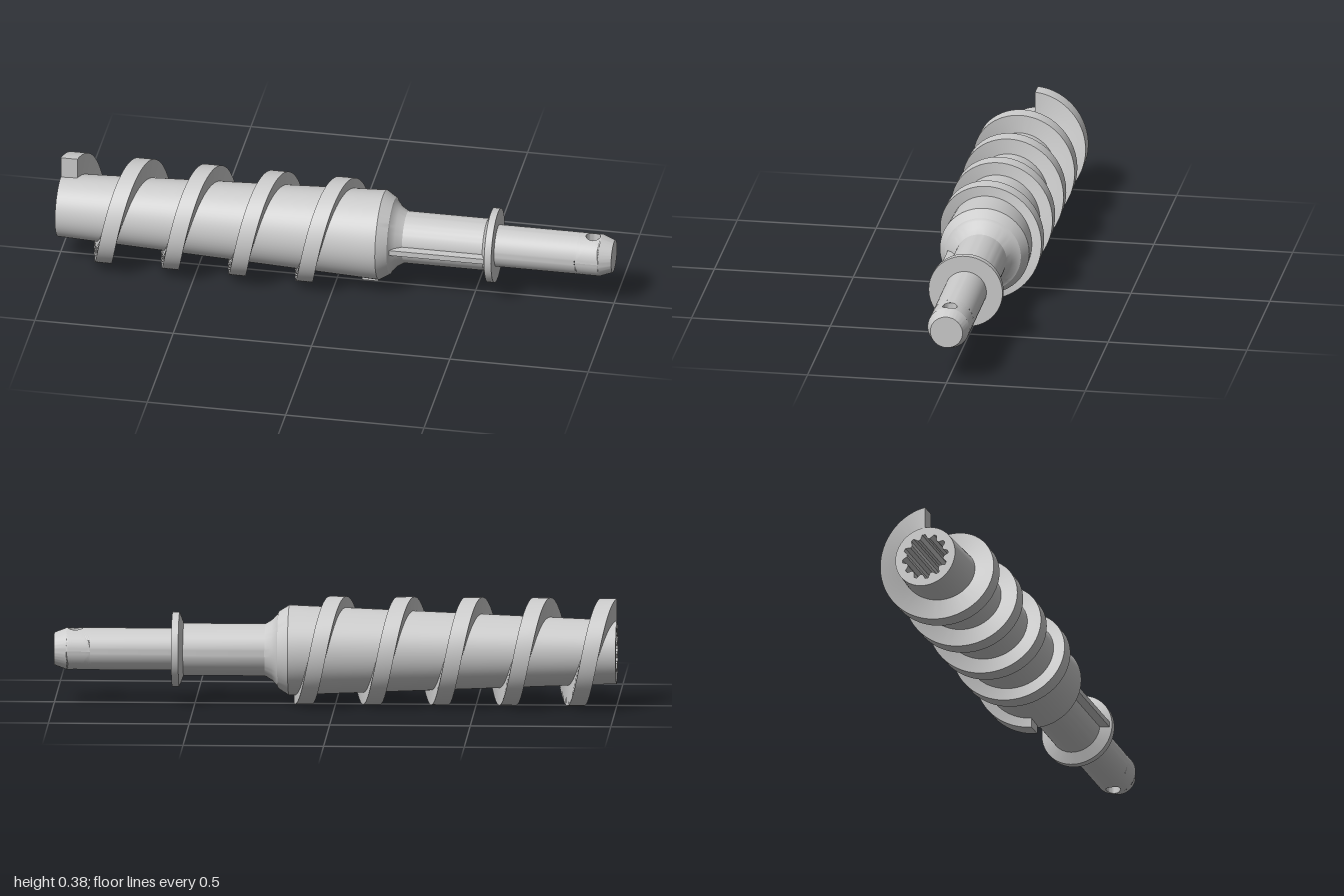
import * as THREE from 'three';
import { toCreasedNormals } from 'three/addons/utils/BufferGeometryUtils.js';

const AXIS_Y = 0.192, FLIGHT_R = 0.192, SHAFT_R = 0.075;
const coreRadius = x => Math.min(0.113 + (x + 1) * 0.041, 0.16);

export function createModel() {
  const model = new THREE.Group();
  const screw = new THREE.Group();
  screw.name = 'augerScrew';
  screw.position.y = AXIS_Y;
  model.add(screw);
  const grey = new THREE.MeshStandardMaterial({ color: 0xcccccc });
  const greyDouble = new THREE.MeshStandardMaterial({ color: 0xcccccc, side: THREE.DoubleSide });

  function add(name, geometry, material = grey, crease = 0.5) {
    const mesh = new THREE.Mesh(toCreasedNormals(geometry, crease), material);
    mesh.name = name;
    screw.add(mesh);
    return mesh;
  }
  // Turned part about the x axis from [x, radius] pairs
  function turned(name, profile) {
    const points = profile.map(([x, r]) => new THREE.Vector2(r, x));
    return add(name, new THREE.LatheGeometry(points, 64).rotateZ(-Math.PI / 2));
  }
  // Rewrites every vertex of a geometry by a rule
  function remap(geometry, rule) {
    const p = geometry.attributes.position, uv = geometry.attributes.uv;
    for (let i = 0; i < p.count; i++) {
      p.setXYZ(i, ...rule(p.getX(i), p.getY(i), p.getZ(i), uv.getX(i), uv.getY(i), i));
    }
    return geometry;
  }

  // Tapered core with chamfered shoulder and neck
  turned('core', [[-1, coreRadius(-1)], [0.12, coreRadius(0.12)], [0.165, 0.161],
    [0.203, 0.137], [0.207, 0.128], [0.225, 0.108], [0.25, 0.093]]);
  turned('neck', [[0.25, 0.093], [0.56, 0.093]]);
  turned('collar', [[0.54, 0.093], [0.555, 0.133], [0.58, 0.133], [0.58, SHAFT_R]]);
  turned('driveShaft', [[0.58, SHAFT_R], [0.87, SHAFT_R]]);
  turned('shaftTip', [[0.955, SHAFT_R], [1, 0.058], [1, 0]]);

  // Rib along the front of the neck
  add('neckRib', new THREE.BoxGeometry(0.35, 0.02, 0.075).translate(0.38, 0, 0.0875));

  // Helical flight: a long box wound round the core
  const turns = 4.5, pitch = 0.242, width = 0.06;
  add('helicalFlight', remap(new THREE.BoxGeometry(1, 1, 1, 1, 1, 324), (bx, by, bz) => {
    const s = 0.5 - bz, a = s * turns * Math.PI * 2;
    const x = -0.97 + s * turns * pitch + bx * width;
    const r = by > 0 ? FLIGHT_R : coreRadius(x) - 0.012;
    return [x, r * Math.cos(a), -r * Math.sin(a)];
  }));

  // Shaft section pierced by a vertical pin hole: two half shells and the hole wall
  const holeX = 0.925, holeR = 0.026, x0 = 0.87, x1 = 0.955;
  for (const side of [1, -1]) {
    const shell = remap(new THREE.PlaneGeometry(1, 1, 64, 10), (px, py, pz, u, v) => {
      const t = u * Math.PI * 2, c = Math.cos(t), s = Math.sin(t);
      const m = Math.max(Math.abs(c), Math.abs(s));
      const x = THREE.MathUtils.lerp(holeX + holeR * c, (x0 + x1) / 2 + (x1 - x0) / 2 * c / m, v);
      const a = THREE.MathUtils.lerp(Math.asin(holeR * s / SHAFT_R), Math.PI / 2 * s / m, v);
      return [x, SHAFT_R * Math.cos(a), SHAFT_R * Math.sin(a)];
    });
    if (side < 0) shell.rotateX(Math.PI);
    add(side > 0 ? 'piercedShaftTop' : 'piercedShaftBottom', shell);
  }
  const pinWall = new THREE.CylinderGeometry(holeR, holeR, 1, 32, 1, true);
  add('pinHole', remap(pinWall, (x, y, z) =>
    [x + holeX, Math.sign(y) * Math.sqrt(SHAFT_R ** 2 - z * z), z]), greyDouble);

  // Splined socket in the wide end
  const teeth = 12, count = teeth * 4, depth = 0.3;
  const splineR = i => (i % 4 < 2 ? 0.086 : 0.07);
  const outline = Array.from({ length: count }, (_, i) => {
    const a = i / count * Math.PI * 2;
    return new THREE.Vector2(splineR(i) * Math.cos(a), splineR(i) * Math.sin(a));
  });
  const ring = new THREE.Shape().absarc(0, 0, coreRadius(-1), 0, Math.PI * 2);
  ring.holes.push(new THREE.Path(outline));
  add('endFace', new THREE.ShapeGeometry(ring, 32).rotateY(-Math.PI / 2).translate(-1, 0, 0));
  add('socketFloor', new THREE.ShapeGeometry(new THREE.Shape(outline))
    .rotateY(-Math.PI / 2).translate(-1 + depth, 0, 0));
  const wall = remap(new THREE.CylinderGeometry(1, 1, depth, count, 1, true), (x, y, z, u, v, i) => {
    const r = splineR(i % (count + 1));
    return [x * r, y, z * r];
  });
  add('socketWall', wall.rotateZ(Math.PI / 2).translate(-1 + depth / 2, 0, 0), greyDouble, 0.3);

  return model;
}
